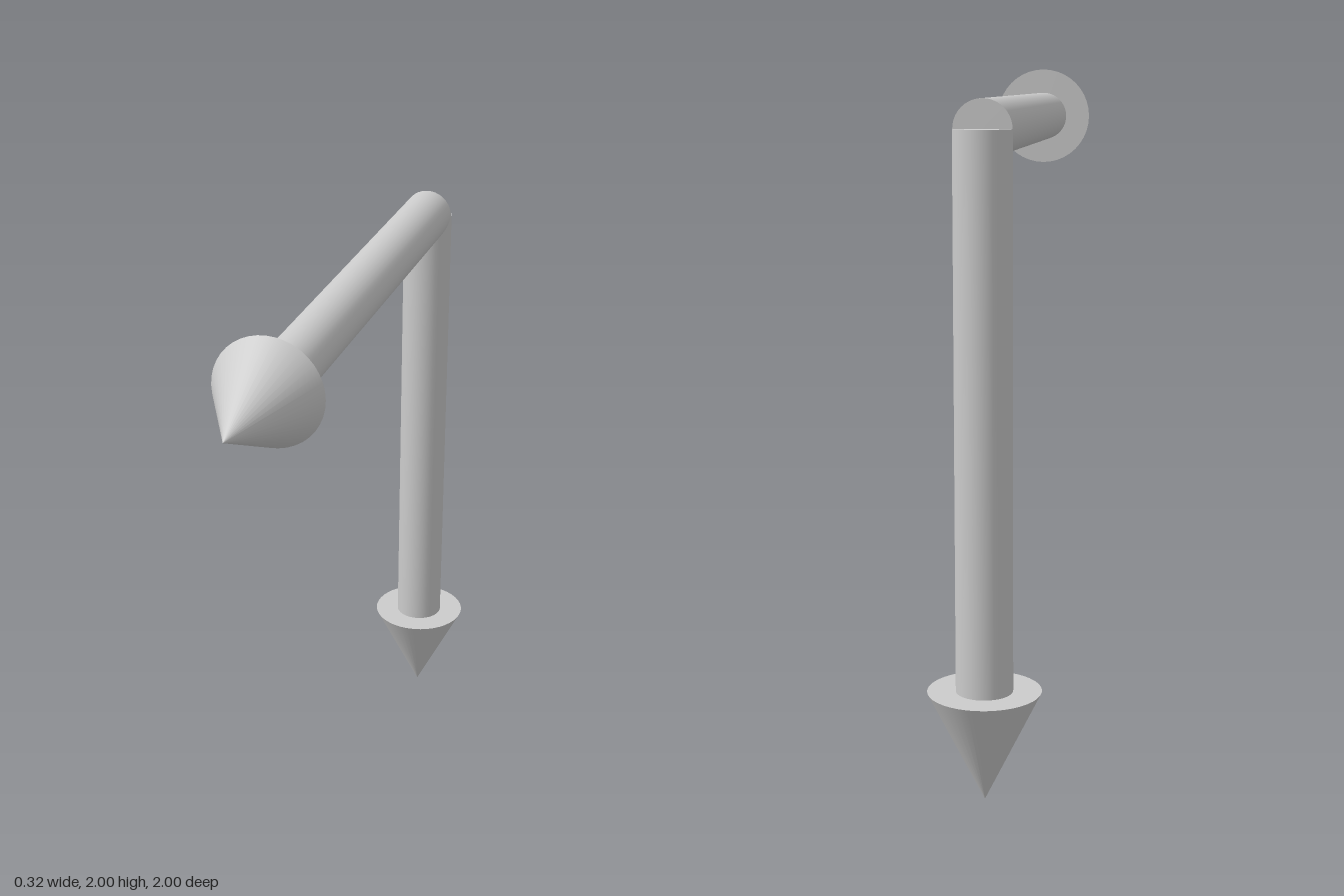
import * as THREE from 'three';

const SHAFT_RADIUS = 0.079, HEAD_RADIUS = 0.158;
const LENGTH = 1.842, HEAD_LENGTH = 0.316, SIDES = 40;

export function createModel() {
  const model = new THREE.Group();
  model.name = 'arrowPair';
  const material = new THREE.MeshStandardMaterial({ color: 0xcccccc });

  // An arrow that starts at its group's origin and points along +y
  function makeArrow(name) {
    const arrow = new THREE.Group();
    arrow.name = name;
    const shaftLength = LENGTH - HEAD_LENGTH;

    const shaft = new THREE.Mesh(
      new THREE.CylinderGeometry(SHAFT_RADIUS, SHAFT_RADIUS, shaftLength, SIDES), material);
    shaft.name = 'shaft';
    shaft.position.y = shaftLength / 2;

    const head = new THREE.Mesh(
      new THREE.ConeGeometry(HEAD_RADIUS, HEAD_LENGTH, SIDES), material);
    head.name = 'arrowHead';
    head.position.y = shaftLength + HEAD_LENGTH / 2;

    arrow.add(shaft, head);
    // Both arrows start at the same corner
    arrow.position.set(0, LENGTH, HEAD_RADIUS - 1);
    model.add(arrow);
    return arrow;
  }

  makeArrow('forwardArrow').rotation.x = Math.PI / 2;
  makeArrow('downArrow').rotation.x = Math.PI;

  return model;
}
